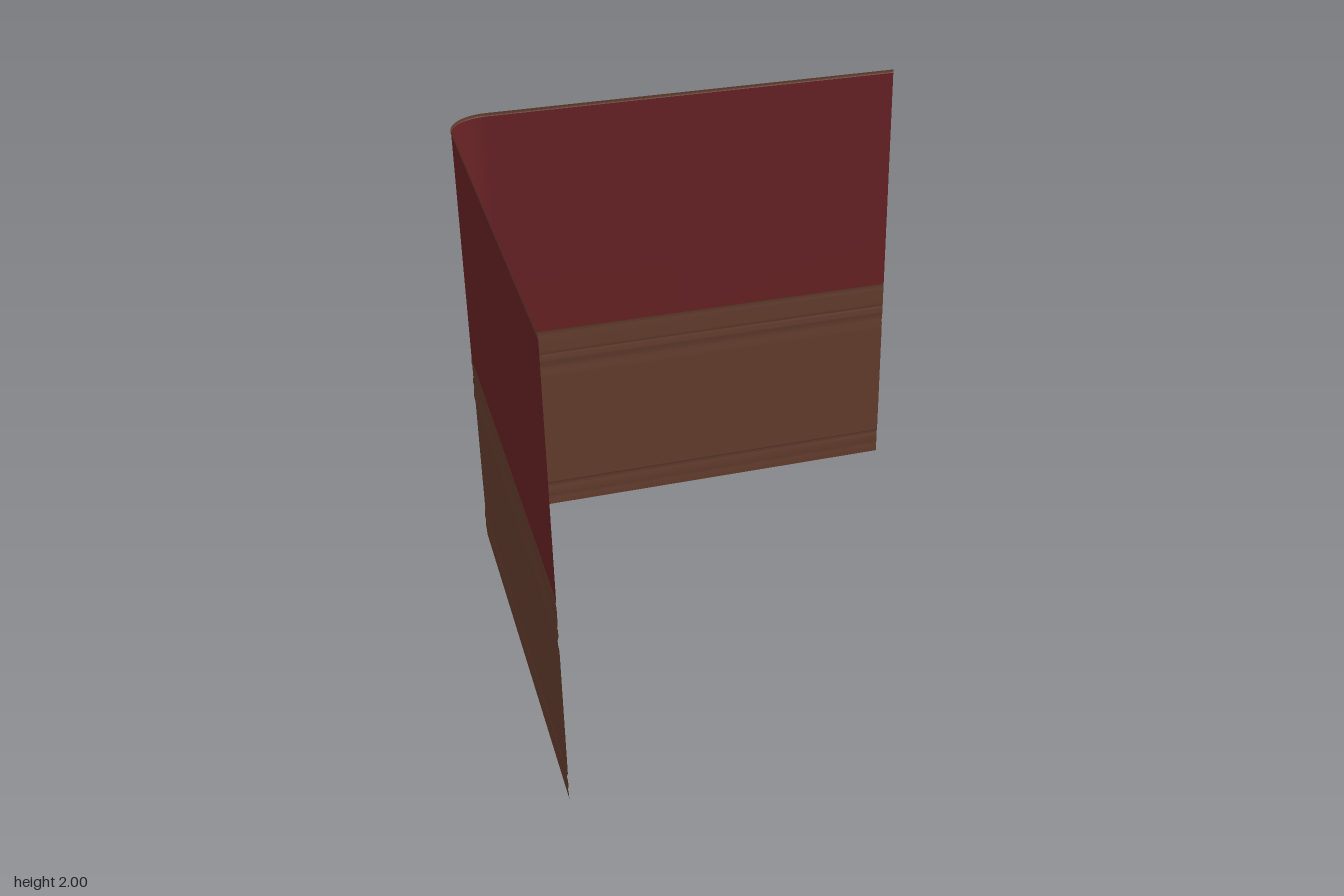
import * as THREE from 'three';

const WALL = 0.996;   // distance of the wall plane from the centre
const RADIUS = 0.17;  // radius of the rounded corner
const ARC_STEPS = 16;

const paint = new THREE.MeshStandardMaterial({ color: 0x6a2325, side: THREE.DoubleSide });
paint.name = 'dark red paint';
const wood = new THREE.MeshStandardMaterial({ color: 0x673f2f, side: THREE.DoubleSide });
wood.name = 'brown wood';

// Plan of the wall: left run, rounded corner, back run; out pushes it outward
function planPath(out) {
  const c = -WALL + RADIUS, r = RADIUS + out;
  const points = [[-WALL - out, 1], [-WALL - out, 0]];
  for (let i = 0; i <= ARC_STEPS; i++) {
    const a = Math.PI + (i / ARC_STEPS) * Math.PI / 2;
    points.push([c + r * Math.cos(a), c + r * Math.sin(a)]);
  }
  points.push([0, -WALL - out], [1, -WALL - out]);
  return points;
}

// Sweep a profile of [outward offset, height] pairs along the plan
function sweep(name, profile, material) {
  const positions = [], index = [];
  for (const [out, y] of profile) {
    for (const [x, z] of planPath(out)) positions.push(x, y, z);
  }
  const n = planPath(0).length;
  for (let j = 0; j < profile.length - 1; j++) {
    for (let i = 0; i < n - 1; i++) {
      const a = j * n + i, b = a + 1, c = a + n, d = c + 1;
      index.push(a, b, d, a, d, c);
    }
  }
  const geometry = new THREE.BufferGeometry();
  geometry.setAttribute('position', new THREE.Float32BufferAttribute(positions, 3));
  geometry.setIndex(index);
  geometry.computeVertexNormals();
  const mesh = new THREE.Mesh(geometry, material);
  mesh.name = name;
  return mesh;
}

export function createModel() {
  const group = new THREE.Group();
  group.name = 'cornerWall';

  // Skirting with two shallow beads
  group.add(sweep('baseboard', [
    [0.001, 0], [0.001, 0.025], [0.003, 0.035], [0.003, 0.05], [0.001, 0.06],
    [0.001, 0.092], [0.004, 0.097], [0.004, 0.115], [0, 0.125],
  ], wood));

  // Flat wood panelling
  group.add(sweep('woodPanel', [[0, 0.125], [0, 0.2], [0, 0.62], [0, 0.7]], wood));

  // Moulded rail: rounded bead below, flat band, thin lip on top
  group.add(sweep('chairRail', [
    [0, 0.7], [0.001, 0.72], [0.004, 0.74], [0.004, 0.76], [0, 0.778],
    [0, 0.785], [0.001, 0.808], [0.003, 0.813], [0.003, 0.818], [0.001, 0.823],
    [0, 0.835], [0, 0.905], [0.002, 0.912], [0.002, 0.926], [0, 0.936],
  ], wood));

  // Painted upper wall
  group.add(sweep('upperWall', [[0, 0.936], [0, 1.2], [0, 1.7], [0, 1.985]], paint));

  // Narrow trim along the top edge
  group.add(sweep('topTrim', [[0, 1.985], [0.002, 1.99], [0.001, 2]], wood));

  return group;
}
